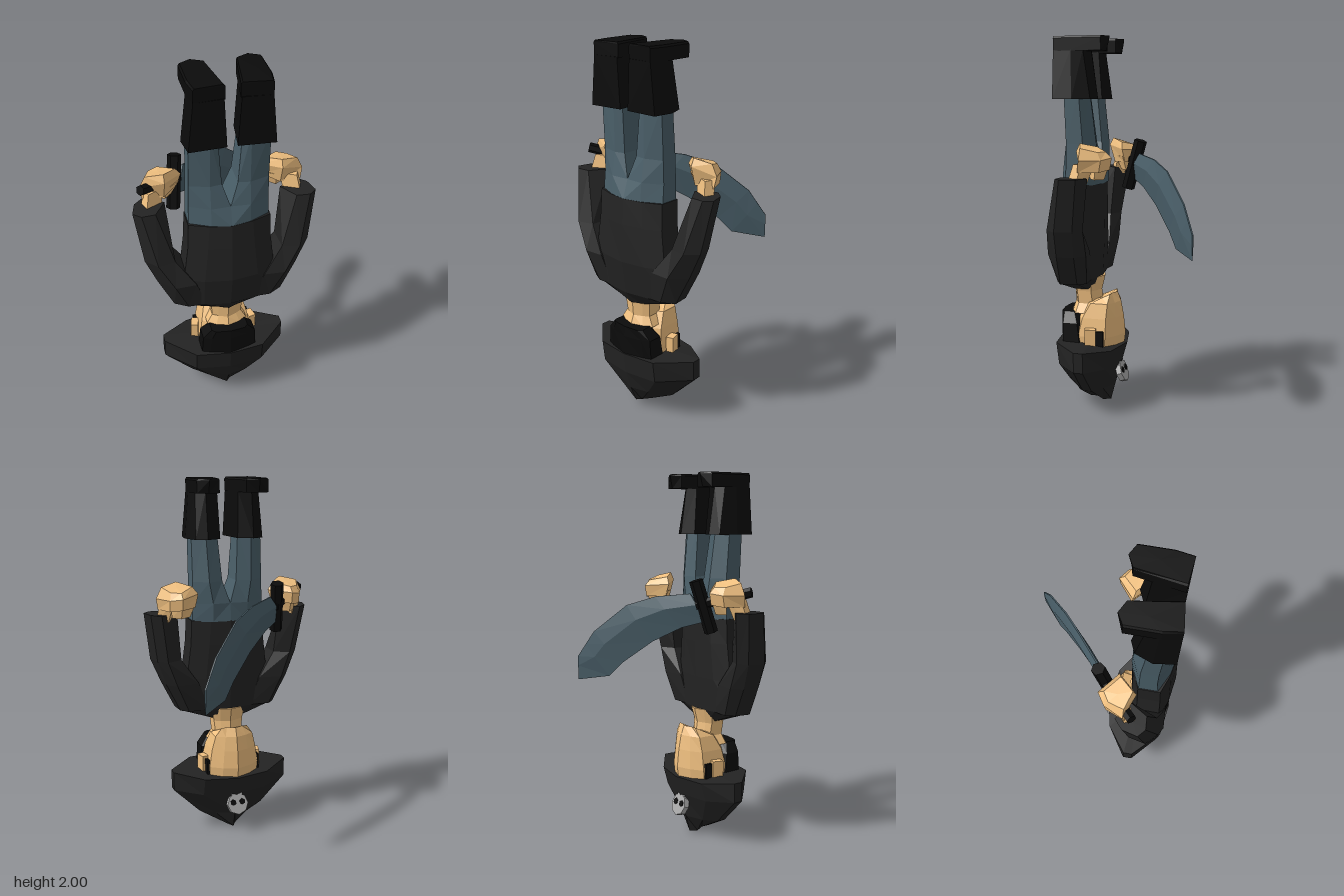
import * as THREE from 'three';

const mat = (color) => new THREE.MeshStandardMaterial({ color, flatShading: true, roughness: 0.9, side: THREE.DoubleSide });
const SKIN = mat(0xf0c080), COAT = mat(0x232323), BLACK = mat(0x0b0b0b), BLUE = mat(0x4a5f69), GREY = mat(0xaaaaaa);

// Closed skin through rings of points, capped at both ends and turned outwards
function loft(rings) {
  const out = [], n = rings[0].length;
  const tri = (a, b, c) => out.push(a, b, c);
  for (let i = 0; i < rings.length - 1; i++) {
    for (let j = 0; j < n; j++) {
      const k = (j + 1) % n, A = rings[i], B = rings[i + 1];
      tri(A[j], A[k], B[k]);
      tri(A[j], B[k], B[j]);
    }
  }
  const middle = (r) => [0, 1, 2].map((c) => r.reduce((s, p) => s + p[c], 0) / n);
  const first = rings[0], last = rings[rings.length - 1], a = middle(first), b = middle(last);
  for (let j = 0; j < n; j++) {
    const k = (j + 1) % n;
    tri(a, first[k], first[j]);
    tri(b, last[j], last[k]);
  }
  let volume = 0;
  for (let i = 0; i < out.length; i += 3) {
    const [p, q, r] = out.slice(i, i + 3).map((v) => new THREE.Vector3(...v));
    volume += p.dot(q.cross(r));
  }
  if (volume < 0) out.reverse();
  const g = new THREE.BufferGeometry();
  g.setAttribute('position', new THREE.Float32BufferAttribute(out.flat(), 3));
  g.computeVertexNormals();
  return g;
}

// Level ring: half width, front and back z, and how far the corners are cut in
function oct(y, hx, z0, z1, bx = hx * 0.6, d = 0.02, cx = 0) {
  const zm = (z0 + z1) / 2, w = (z1 - z0) / 4;
  return [[0, z1], [bx, z1 - d], [hx, zm + w], [hx, zm - w], [bx, z0 + d], [0, z0],
    [-bx, z0 + d], [-hx, zm - w], [-hx, zm + w], [-bx, z1 - d]].map(([x, z]) => [cx + x, y, z]);
}

const flat = (y, points) => points.map(([x, z]) => [x, y, z]);

function add(parent, name, geometry, material) {
  const m = new THREE.Mesh(geometry, material);
  m.name = name;
  parent.add(m);
  return m;
}

// Bar between two points
function bar(parent, name, a, b, r, material) {
  const p = new THREE.Vector3(...a), q = new THREE.Vector3(...b), d = q.clone().sub(p);
  const m = add(parent, name, new THREE.CylinderGeometry(r, r, d.length(), 6), material);
  m.position.copy(p).add(q).multiplyScalar(0.5);
  m.quaternion.setFromUnitVectors(new THREE.Vector3(0, 1, 0), d.normalize());
  return m;
}

// Points of one side are written for +x and mirrored by s
const mirror = (rings, s) => rings.map((r) => r.map(([x, y, z]) => [x * s, y, z]));

function limbs(parent, s) {
  const side = new THREE.Group();
  side.name = s > 0 ? 'leftLimbs' : 'rightLimbs';
  parent.add(side);
  const part = (name, rings, material) => add(side, name, loft(mirror(rings, s)), material);

  part('sleeve', [
    flat(1.29, [[0.47, 0.245], [0.45, 0.165], [0.4, 0.12], [0.3, 0.18], [0.36, 0.275], [0.43, 0.28]]),
    flat(1.02, [[0.43, 0.29], [0.41, 0.2], [0.36, 0.16], [0.275, 0.2], [0.28, 0.33], [0.37, 0.35]]),
    flat(0.88, [[0.37, 0.3], [0.36, 0.21], [0.31, 0.16], [0.18, 0.18], [0.18, 0.37], [0.29, 0.375]]),
    flat(0.72, [[0.29, 0.31], [0.28, 0.22], [0.24, 0.18], [0.12, 0.19], [0.12, 0.35], [0.22, 0.35]]),
  ], COAT);

  part('trouserLeg', [
    flat(1.23, [[0, 0.38], [0.1, 0.36], [0.205, 0.31], [0.205, 0.21], [0.1, 0.16], [0, 0.15]]),
    flat(1.33, [[0, 0.345], [0.1, 0.35], [0.203, 0.3], [0.203, 0.21], [0.1, 0.155], [0, 0.16]]),
    flat(1.45, [[0.04, 0.32], [0.1, 0.33], [0.2, 0.3], [0.2, 0.21], [0.12, 0.16], [0.04, 0.18]]),
    flat(1.72, [[0.06, 0.31], [0.1, 0.33], [0.2, 0.31], [0.2, 0.23], [0.13, 0.19], [0.06, 0.21]]),
  ], BLUE);

  part('bootShaft', [
    flat(1.68, [[0.025, 0.36], [0.21, 0.37], [0.225, 0.26], [0.19, 0.17], [0.13, 0.145], [0.05, 0.18]]),
    flat(1.93, [[0.04, 0.36], [0.185, 0.37], [0.2, 0.27], [0.18, 0.21], [0.13, 0.18], [0.06, 0.2]]),
  ], BLACK);
  const sole = [[0.035, 0.355], [0.185, 0.37], [0.2, 0.28], [0.2, 0.11], [0.14, 0.08], [0.075, 0.11]];
  part('bootFoot', [flat(1.925, sole.map(([x, z]) => [x, Math.max(z, 0.095)])),
    flat(1.99, sole), flat(2, sole.map(([x, z]) => [0.12 + (x - 0.12) * 0.9, z]))], BLACK);

  // Fist with its wrist and bent fingers
  part('wrist', [
    flat(1.25, [[0.4, 0.23], [0.42, 0.18], [0.36, 0.14], [0.32, 0.19]]),
    flat(1.36, [[0.38, 0.2], [0.4, 0.15], [0.34, 0.1], [0.3, 0.16]]),
  ], SKIN);
  part('fist', [
    [[0.31, 1.33, 0.03], [0.22, 1.33, 0.1], [0.3, 1.32, 0.18], [0.41, 1.32, 0.17], [0.37, 1.32, 0.07]],
    [[0.31, 1.39, 0.02], [0.2, 1.4, 0.11], [0.3, 1.42, 0.21], [0.42, 1.38, 0.16], [0.37, 1.38, 0.06]],
    [[0.31, 1.42, 0.05], [0.23, 1.44, 0.12], [0.3, 1.46, 0.19], [0.39, 1.44, 0.16], [0.36, 1.42, 0.08]],
  ], SKIN);
  part('fingers', [
    flat(1.28, [[0.31, 0.06], [0.25, 0.1], [0.29, 0.14], [0.35, 0.1]]),
    flat(1.36, [[0.31, 0.03], [0.21, 0.11], [0.28, 0.17], [0.36, 0.09]]),
  ], SKIN);

  const ear = add(side, 'ear', new THREE.BoxGeometry(0.04, 0.09, 0.06), SKIN);
  ear.position.set(s * 0.16, 0.405, 0.19);
  ear.rotation.y = s * 0.25;
  const sideburn = add(side, 'sideburn', new THREE.BoxGeometry(0.03, 0.1, 0.04), BLACK);
  sideburn.position.set(s * 0.142, 0.385, 0.14);
}

function head(parent) {
  add(parent, 'neck', loft([oct(0.72, 0.1, 0.15, 0.34), oct(0.64, 0.085, 0.17, 0.325),
    oct(0.57, 0.08, 0.16, 0.32), oct(0.52, 0.11, 0.14, 0.34)]), SKIN);
  // The chin is highest as the figure stands on its hat
  const face = [oct(0.63, 0.075, 0.08, 0.17, 0.045), oct(0.58, 0.11, 0.06, 0.25, 0.06),
    oct(0.5, 0.13, 0.045, 0.31, 0.07, 0.025), oct(0.4, 0.145, 0.035, 0.34, 0.08, 0.03),
    oct(0.32, 0.14, 0.045, 0.34, 0.08, 0.03)];
  for (const p of face[0]) p[1] -= Math.max(0, p[2] - 0.1) * 0.5;
  add(parent, 'face', loft(face), SKIN);
  add(parent, 'hair', loft([oct(0.525, 0.1, 0.27, 0.385, 0.08, 0.01), oct(0.47, 0.145, 0.23, 0.39, 0.1, 0.02),
    oct(0.36, 0.152, 0.21, 0.395, 0.11, 0.03)]), BLACK);

  // Hat with upturned brim: lens-shaped rings narrowing to a ridge
  const ring = (hx, z0, z1, zs, y0, y1, ys = (y0 + y1) / 2) => [[0, y1, z1], [hx * 0.55, y1, z1 - 0.025],
    [hx, ys, zs + 0.025], [hx, ys, zs - 0.025], [hx * 0.55, y0, z0 + 0.04], [0, y0, z0],
    [-hx * 0.55, y0, z0 + 0.04], [-hx, ys, zs - 0.025], [-hx, ys, zs + 0.025], [-hx * 0.55, y1, z1 - 0.025]];
  add(parent, 'hat', loft([ring(0.34, 0.025, 0.4, 0.2, 0.345, 0.37, 0.368), ring(0.34, 0.055, 0.385, 0.2, 0.24, 0.25, 0.26),
    ring(0.19, 0.095, 0.35, 0.2, 0.1, 0.14, 0.11), ring(0.04, 0.12, 0.31, 0.2, 0.005, 0.045, 0.03)]), COAT);

  // Pale skull badge on the front brim
  const badge = new THREE.Group();
  badge.name = 'skullBadge';
  badge.position.set(0, 0.195, 0.062);
  badge.rotation.x = 0.32;
  const skull = add(badge, 'skull', new THREE.CylinderGeometry(0.062, 0.062, 0.03, 8), GREY);
  skull.rotation.x = Math.PI / 2;
  skull.position.y = -0.02;
  add(badge, 'jaw', new THREE.BoxGeometry(0.065, 0.05, 0.028), GREY).position.y = 0.055;
  for (const s of [-1, 1]) {
    const eye = add(badge, 'eyeHole', new THREE.CylinderGeometry(0.018, 0.018, 0.01, 6), BLACK);
    eye.rotation.x = Math.PI / 2;
    eye.position.set(s * 0.027, -0.01, -0.014);
  }
  parent.add(badge);
}

function sword(parent) {
  const g = new THREE.Group();
  g.name = 'sword';
  bar(g, 'grip', [-0.42, 1.395, 0.205], [-0.2, 1.32, 0.02], 0.027, BLACK);
  bar(g, 'guard', [-0.212, 1.45, 0.005], [-0.24, 1.18, 0.085], 0.036, BLACK);
  // Curved blade: z and y of its back, then of its edge
  const stations = [[0, 1.38, 0.06, 1.24, 0.02], [-0.12, 1.36, -0.03, 1.2, 0.022], [-0.22, 1.31, -0.13, 1.12, 0.022],
    [-0.34, 1.16, -0.235, 1.0, 0.018], [-0.37, 1.09, -0.285, 0.92, 0.015], [-0.4, 1.02, -0.4, 0.89, 0.004]];
  const at = (z, y, t) => [-0.195 + (0.02 - z) * 1.25 + 0.62 * t, y, z + 0.78 * t];
  add(g, 'blade', loft(stations.map(([z0, y0, z1, y1, t]) => {
    const z = z0 * 0.6 + z1 * 0.4, y = y0 * 0.6 + y1 * 0.4;
    return [at(z0, y0, 0.004), at(z, y, t), at(z1, y1, 0), at(z, y, -t), at(z0, y0, -0.004)];
  })), BLUE);
  parent.add(g);
}

export function createModel() {
  const model = new THREE.Group();
  model.name = 'invertedPirate';
  add(model, 'torso', loft([oct(1.235, 0.21, 0.15, 0.38, 0.11), oct(1.1, 0.215, 0.15, 0.39, 0.12),
    oct(0.9, 0.24, 0.155, 0.4, 0.14), oct(0.72, 0.27, 0.165, 0.375, 0.14), oct(0.65, 0.08, 0.19, 0.335)]), COAT);
  head(model);
  for (const s of [-1, 1]) limbs(model, s);
  sword(model);
  return model;
}
